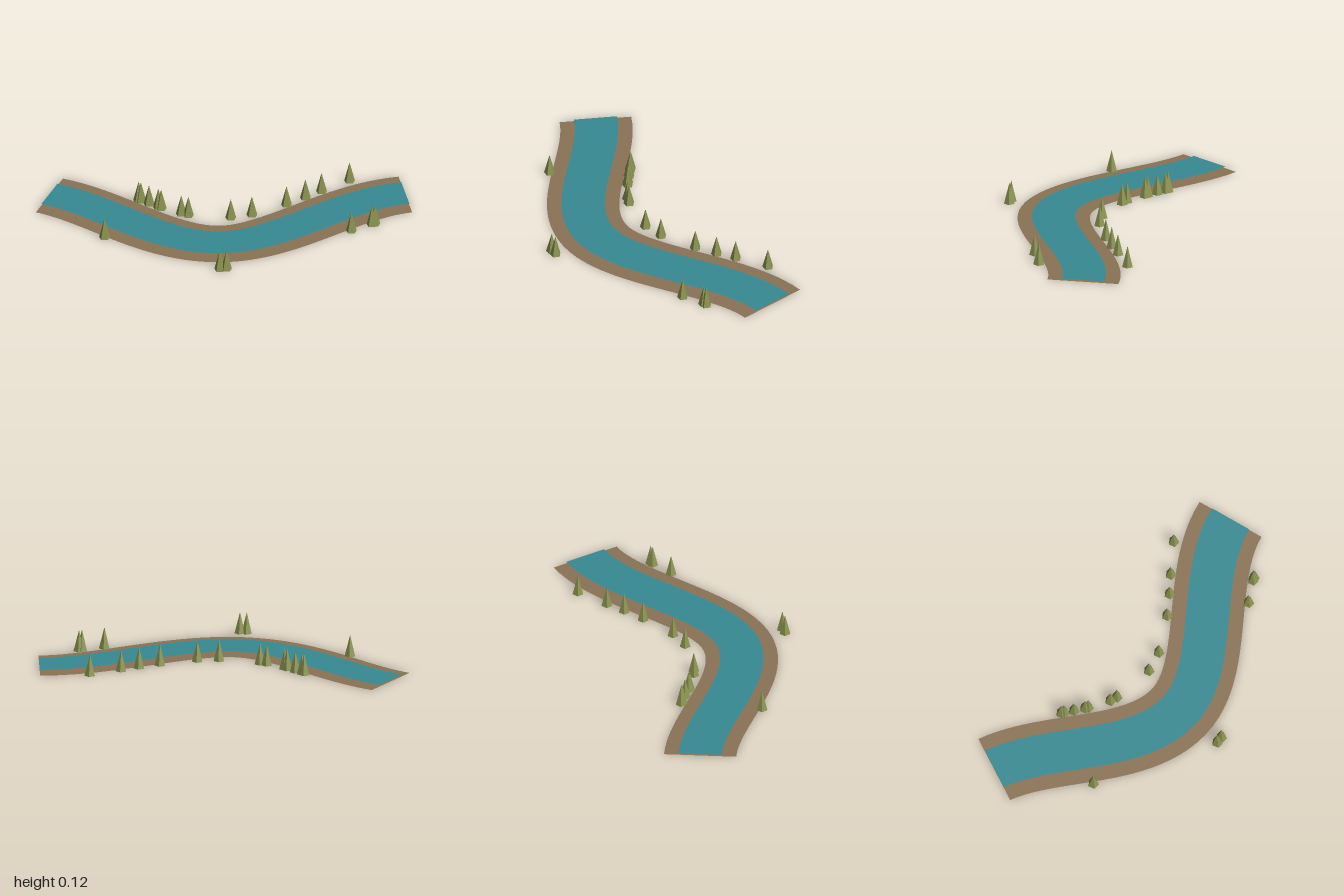
import * as THREE from 'three';

const bankMaterial = new THREE.MeshStandardMaterial({ color: 0x8b7355, side: THREE.DoubleSide });
bankMaterial.name = 'earth brown';
const waterMaterial = new THREE.MeshStandardMaterial({ color: 0x378a92, side: THREE.DoubleSide });
waterMaterial.name = 'river teal';
const treeMaterial = new THREE.MeshStandardMaterial({ color: 0x8a9350, flatShading: true });
treeMaterial.name = 'olive green';

// Centre line of the river, seen from above as (x, z)
const v = (x, z) => new THREE.Vector2(x, z);
const course = [
  new THREE.CubicBezierCurve(v(-0.929, -0.295), v(-0.622, -0.173), v(-0.36, 0.21), v(-0.03, 0.21)),
  new THREE.CubicBezierCurve(v(-0.03, 0.21), v(0.3, 0.21), v(0.607, -0.247), v(0.96, -0.317)),
];

// Flat ribbon of constant width following the centre line
function ribbon(halfWidth, y, steps = 24) {
  const positions = [];
  const indices = [];
  course.forEach((curve, part) => {
    for (let i = part; i <= steps; i++) {
      const p = curve.getPoint(i / steps);
      const t = curve.getTangent(i / steps);
      for (const side of [-1, 1]) {
        positions.push(p.x - t.y * halfWidth * side, y, p.y + t.x * halfWidth * side);
      }
    }
  });
  for (let a = 0; a < positions.length / 3 - 2; a += 2) {
    indices.push(a, a + 1, a + 2, a + 1, a + 3, a + 2);
  }
  const geometry = new THREE.BufferGeometry();
  geometry.setAttribute('position', new THREE.Float32BufferAttribute(positions, 3));
  geometry.setIndex(indices);
  geometry.computeVertexNormals();
  return geometry;
}

// Tree positions (x, z) along both banks
const treeSpots = [
  [-0.455, -0.245], [-0.443, -0.236], [-0.4, -0.205], [-0.35, -0.17], [-0.335, -0.16],
  [-0.228, -0.1], [-0.19, -0.087], [0.035, -0.062], [0.147, -0.093], [0.33, -0.2],
  [0.43, -0.273], [0.515, -0.342], [0.663, -0.455],
  [-0.634, 0.148], [-0.02, 0.478], [0.016, 0.475], [0.676, 0.07], [0.785, 0.003], [0.8, -0.003],
];

export function createModel() {
  const model = new THREE.Group();
  model.name = 'riverBend';

  const bank = new THREE.Mesh(ribbon(0.192, 0), bankMaterial);
  bank.name = 'riverBank';
  const water = new THREE.Mesh(ribbon(0.115, 0.01), waterMaterial);
  water.name = 'water';
  model.add(bank, water);

  // Five-sided cone trees standing on the ground
  const height = 0.117;
  const treeGeometry = new THREE.ConeGeometry(0.03, height, 5);
  treeGeometry.rotateY(Math.PI).translate(0, height / 2, 0);
  const trees = new THREE.Group();
  trees.name = 'trees';
  for (const [x, z] of treeSpots) {
    const tree = new THREE.Mesh(treeGeometry, treeMaterial);
    tree.name = 'tree';
    tree.position.set(x, 0, z);
    trees.add(tree);
  }
  model.add(trees);
  return model;
}
